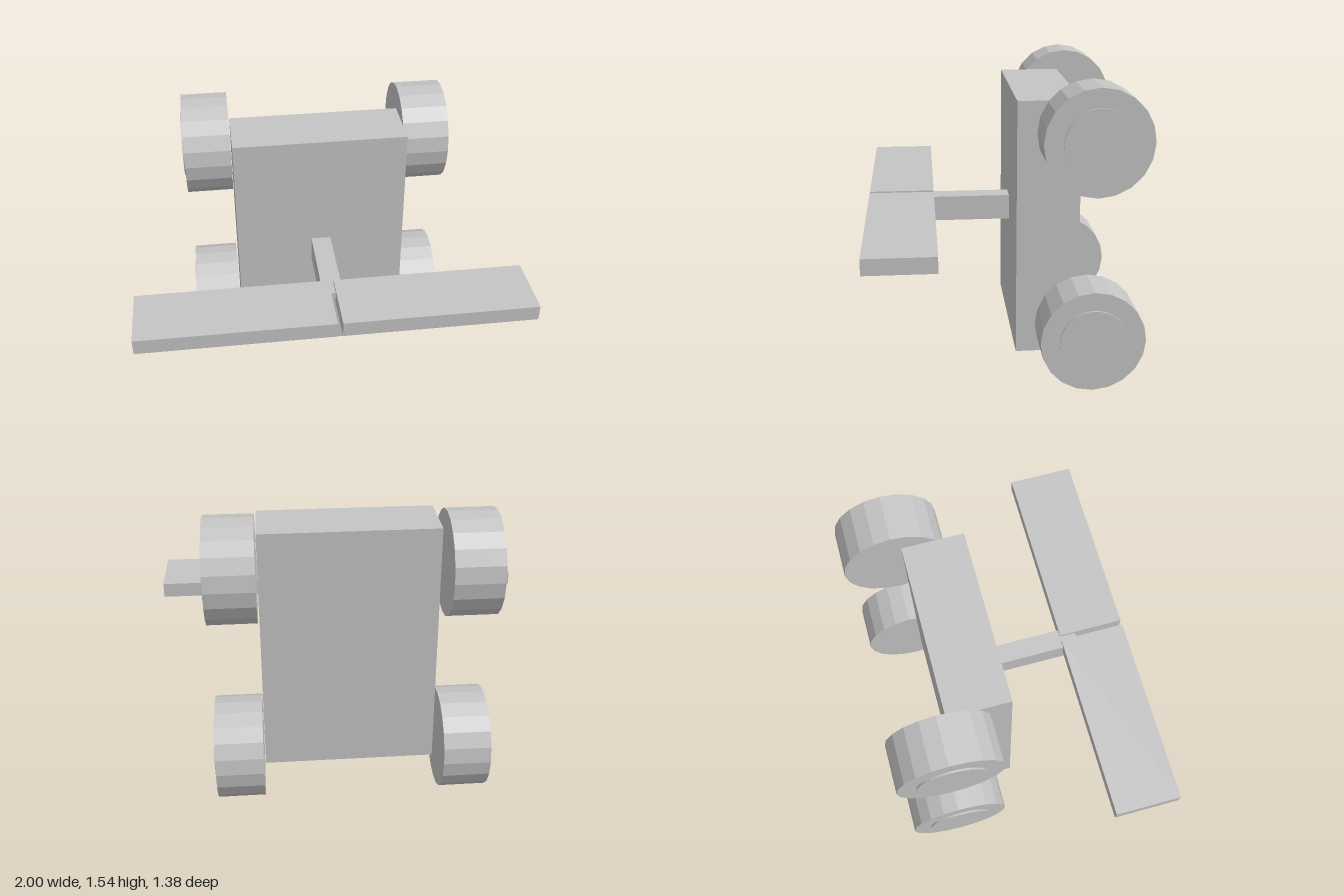
import * as THREE from 'three';

export function createModel() {
  const model = new THREE.Group();
  const grey = new THREE.MeshStandardMaterial({ color: 0xc4c4c4, flatShading: true });
  grey.name = 'plain grey';

  const add = (name, geometry, x, y, z) => {
    const mesh = new THREE.Mesh(geometry, grey);
    mesh.name = name;
    mesh.position.set(x, y, z);
    model.add(mesh);
  };

  // Box given by its lower and upper limits on each axis
  const box = (name, [x0, x1], [y0, y1], [z0, z1]) =>
    add(name, new THREE.BoxGeometry(x1 - x0, y1 - y0, z1 - z0),
      (x0 + x1) / 2, (y0 + y1) / 2, (z0 + z1) / 2);

  // Disc with its axle along x
  const disc = (name, radius, width, sides, x, y, z) =>
    add(name, new THREE.CylinderGeometry(radius, radius, width, sides).rotateZ(Math.PI / 2), x, y, z);

  // Upright body and the arm reaching forward from it
  box('body', [-0.453, 0.453], [0.11, 1.44], [-0.38, -0.06]);
  box('arm', [-0.052, 0.052], [0.71, 0.843], [-0.07, 0.43]);

  for (const side of [-1, 1]) {
    const name = side > 0 ? 'left' : 'right';
    const span = (a, b) => (side > 0 ? [a, b] : [-b, -a]);

    // Flat wing with a thin panel underneath
    box(name + 'Wing', span(0.013, 1), [0.78, 0.86], [0.345, 0.69]);
    box(name + 'WingPanel', span(0.065, 0.945), [0.76, 0.785], [0.39, 0.645]);

    // Upper and lower wheels with raised hubs on the outside
    for (const [level, y] of [['Lower', 0.267], ['Upper', 1.281]]) {
      disc(name + level + 'Wheel', 0.265, 0.243, 20, side * 0.58, y, -0.423);
      disc(name + level + 'Hub', 0.17, 0.03, 32, side * 0.696, y, -0.423);
    }
  }
  return model;
}
